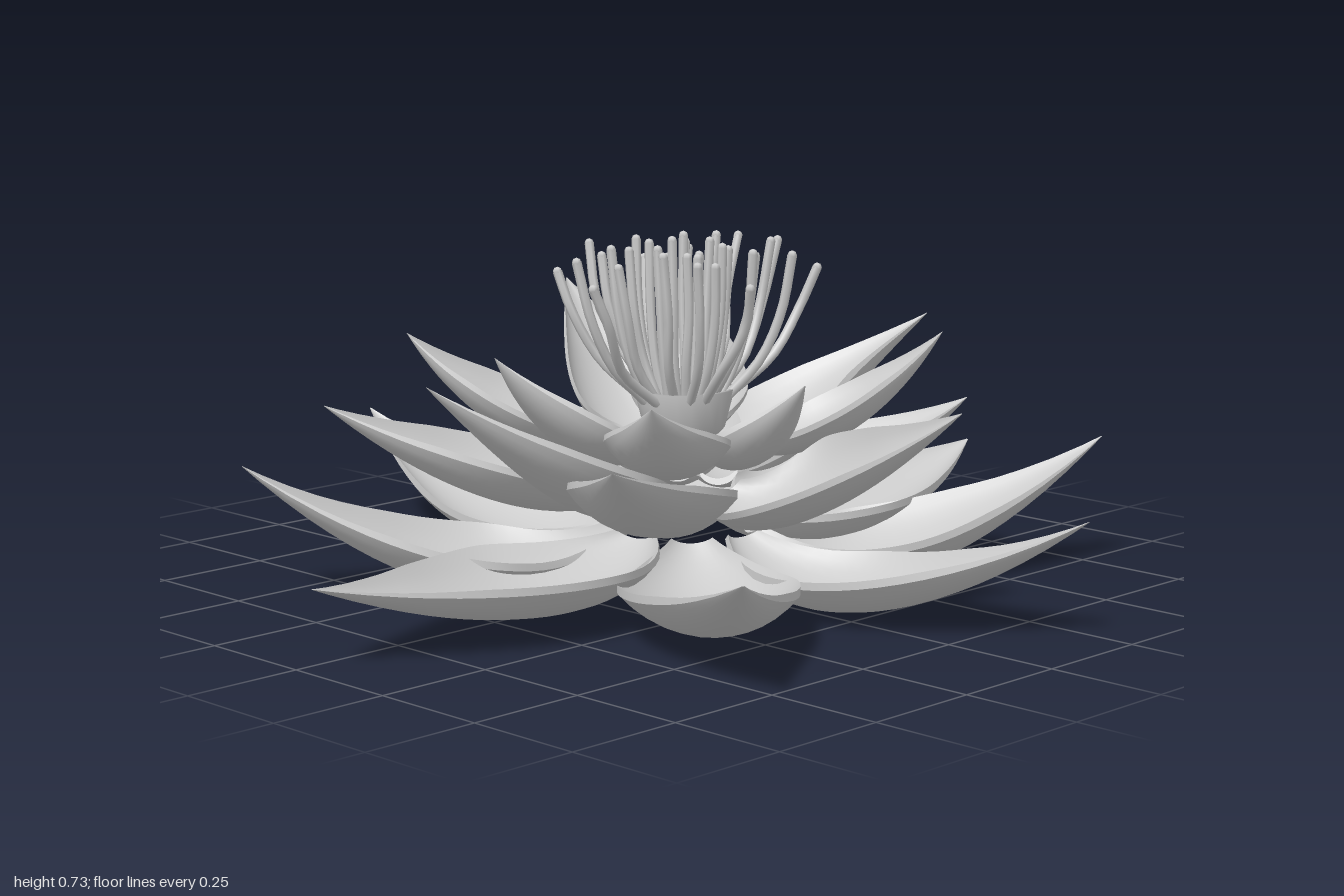
import * as THREE from 'three';

const material = new THREE.MeshStandardMaterial({ color: 0xcccccc, side: THREE.DoubleSide });
const CENTRE = new THREE.Vector3(0, 0, 0.035);
const Y_AXIS = new THREE.Vector3(0, 1, 0);

// Half-width of a petal along its length: narrow base, full belly, drawn-out tip
const outline = new THREE.SplineCurve([
  [0, 0.24], [0.18, 0.64], [0.38, 0.96], [0.52, 1], [0.68, 0.82], [0.84, 0.46], [1, 0.01],
].map(([t, w]) => new THREE.Vector2(t, w)));

// A cupped petal with an inner and an outer skin, swept along a curved spine
function petalGeometry(spine, halfWidth, cup, thickness, roll) {
  const rows = 22, cols = 12, positions = [], index = [];
  const up = new THREE.Vector3(), side = new THREE.Vector3(), p = new THREE.Vector3();
  for (let skin = 0; skin < 2; skin++) {
    for (let i = 0; i <= rows; i++) {
      const o = outline.getPoint(i / rows);
      const t = THREE.MathUtils.clamp(o.x, 0, 1), w = Math.max(o.y, 0.005) * halfWidth;
      const tangent = spine.getTangent(t);
      side.crossVectors(tangent, Y_AXIS).normalize().applyAxisAngle(tangent, roll);
      up.crossVectors(side, tangent).normalize();
      for (let j = 0; j <= cols; j++) {
        const a = (j / cols * 2 - 1) * cup;
        const lift = (1 - Math.cos(a)) / Math.sin(cup) * w;
        p.copy(spine.getPoint(t))
          .addScaledVector(side, Math.sin(a) / Math.sin(cup) * w)
          .addScaledVector(up, lift + skin * thickness * Math.min(1, 4 * (1 - t)));
        positions.push(p.x, p.y, p.z);
      }
    }
  }
  const n = cols + 1, top = (rows + 1) * n;
  const quad = (a, b, c, d) => index.push(a, b, c, a, c, d);
  for (let i = 0; i < rows; i++) {
    for (let j = 0; j < cols; j++) {
      const a = i * n + j;
      quad(a, a + n, a + n + 1, a + 1);
      quad(top + a, top + a + 1, top + a + n + 1, top + a + n);
    }
  }
  // Rim strips use their own vertices so the lip stays crisp
  const strip = (ids) => {
    const start = positions.length / 3;
    ids.forEach((id) => [id, id + top].forEach((k) => positions.push(...positions.slice(k * 3, k * 3 + 3))));
    for (let i = 0; i < ids.length - 1; i++) {
      const a = start + i * 2;
      quad(a, a + 1, a + 3, a + 2);
    }
  };
  const along = Array.from({ length: rows + 1 }, (_, i) => i * n);
  strip(along);
  strip(along.map((k) => k + cols).reverse());
  strip(Array.from({ length: n }, (_, j) => cols - j));
  const g = new THREE.BufferGeometry();
  g.setAttribute('position', new THREE.Float32BufferAttribute(positions, 3));
  g.setIndex(index);
  g.computeVertexNormals();
  return g;
}

// Whorls from the outside in. Each petal is [tip x, y, z, sideways sweep, roll, half-width];
// bends are [fraction of reach, height]
const whorls = [
  { name: 'outerPetal', baseR: 0.13, baseY: 0.11, width: 0.185, cup: 0.85, thickness: 0.016,
    bend: (y) => [[0.3, -0.04 + (0.25 - y) * 0.4], [0.62, -0.03 + (0.25 - y) * 0.4]],
    petals: [[-0.02, 0.25, -0.95, -0.03, 0, 0.16], [0.62, 0.22, -0.75], [0.99, 0.165, -0.02, 0.02, 0, 0.19],
      [0.74, 0.285, 0.55], [0.18, 0.25, 0.945, 0.06, 0, 0.16], [-0.63, 0.24, 0.8, 0, 0, 0.175],
      [-0.99, 0.165, 0.04, -0.06, 0, 0.19], [-0.74, 0.285, -0.49]] },
  { name: 'middlePetal', baseR: 0.1, baseY: 0.2, width: 0.165, cup: 0.95, thickness: 0.014,
    bend: (y) => [[0.35, 0.12], [0.68, y * 0.5]],
    petals: [[0.72, 0.5, 0.08, -0.13, 0.1], [0.42, 0.42, -0.51], [-0.1, 0.41, -0.59], [-0.59, 0.4, -0.41],
      [-0.67, 0.5, 0, -0.08], [-0.62, 0.39, 0.46], [0.09, 0.44, 0.7, 0.04, -0.3], [0.49, 0.38, 0.385]] },
  { name: 'innerPetal', baseR: 0.08, baseY: 0.3, width: 0.125, cup: 1, thickness: 0.012,
    bend: (y) => [[0.45, 0.22], [0.8, y * 0.65]],
    petals: [[-0.35, 0.52, -0.43], [0.06, 0.6, -0.38], [0.35, 0.57, -0.28], [-0.43, 0.52, -0.07],
      [-0.38, 0.46, 0.32], [-0.02, 0.47, 0.39, 0, 0, 0.105], [0.4, 0.53, 0.39, 0, 0, 0.11]] },
];

function createWhorl(whorl) {
  const group = new THREE.Group();
  group.name = whorl.name + 's';
  for (const [x, y, z, sweep = 0, roll = 0, width = whorl.width] of whorl.petals) {
    const tip = new THREE.Vector3(x, y, z);
    const out = tip.clone().sub(CENTRE).setY(0);
    const reach = out.length();
    out.normalize();
    const across = out.clone().cross(Y_AXIS);
    const at = (r, h, s) => CENTRE.clone().addScaledVector(out, r).addScaledVector(across, s).setY(h);
    const [b1, b2] = whorl.bend(y);
    const spine = new THREE.CubicBezierCurve3(
      at(whorl.baseR, whorl.baseY, 0), at(b1[0] * reach, b1[1], sweep), at(b2[0] * reach, b2[1], sweep), tip);
    const mesh = new THREE.Mesh(petalGeometry(spine, width, whorl.cup, whorl.thickness, -roll), material);
    mesh.name = whorl.name;
    group.add(mesh);
  }
  return group;
}

// Wavy filaments in rings, the outer ones leaning outwards
function createStamens() {
  const group = new THREE.Group();
  group.name = 'stamens';
  const rings = [[11, 0.09, 0.26, 0.68], [11, 0.075, 0.17, 0.7], [8, 0.055, 0.1, 0.71], [5, 0.025, 0.04, 0.71]];
  rings.forEach(([count, r0, r1, height], ring) => {
    for (let i = 0; i < count; i++) {
      const wobble = Math.sin(i * 2.7 + ring * 1.9);
      const angle = (i + ring * 0.4) / count * Math.PI * 2 + wobble * 0.12;
      const reach = r1 * (1 + 0.14 * wobble);
      const at = (r, y, twist) => new THREE.Vector3(
        Math.cos(angle + twist) * r * 1.08, y, Math.sin(angle + twist) * r * 0.92).add(CENTRE);
      const curve = new THREE.CatmullRomCurve3([
        at(r0, 0.4, 0), at(r0 + (reach - r0) * 0.5, 0.48, 0.06 * wobble),
        at(r0 + (reach - r0) * 0.82, 0.58, -0.04), at(reach, height + 0.02 * Math.cos(i * 3.1 + ring), 0)]);
      const mesh = new THREE.Mesh(new THREE.TubeGeometry(curve, 10, 0.01, 6), material);
      mesh.name = 'stamen';
      // Rounded tip closes the filament
      const cap = new THREE.Mesh(new THREE.SphereGeometry(0.01, 6, 4), material);
      cap.name = 'stamenTip';
      cap.position.copy(curve.getPoint(1));
      mesh.add(cap);
      group.add(mesh);
    }
  });
  return group;
}

export function createModel() {
  const model = new THREE.Group();
  model.name = 'waterLily';
  whorls.forEach((w) => model.add(createWhorl(w)));
  model.add(createStamens());

  // Small cup that carries the stamens
  const profile = [[0, 0.29], [0.05, 0.3], [0.085, 0.34], [0.105, 0.42], [0.095, 0.42], [0.07, 0.39], [0, 0.385]];
  const heart = new THREE.Mesh(
    new THREE.LatheGeometry(profile.map(([x, y]) => new THREE.Vector2(x, y)), 20), material);
  heart.name = 'flowerHeart';
  heart.position.copy(CENTRE);
  model.add(heart);

  // Rest the lowest petal on the ground
  model.position.y = -new THREE.Box3().setFromObject(model).min.y;
  return model;
}
